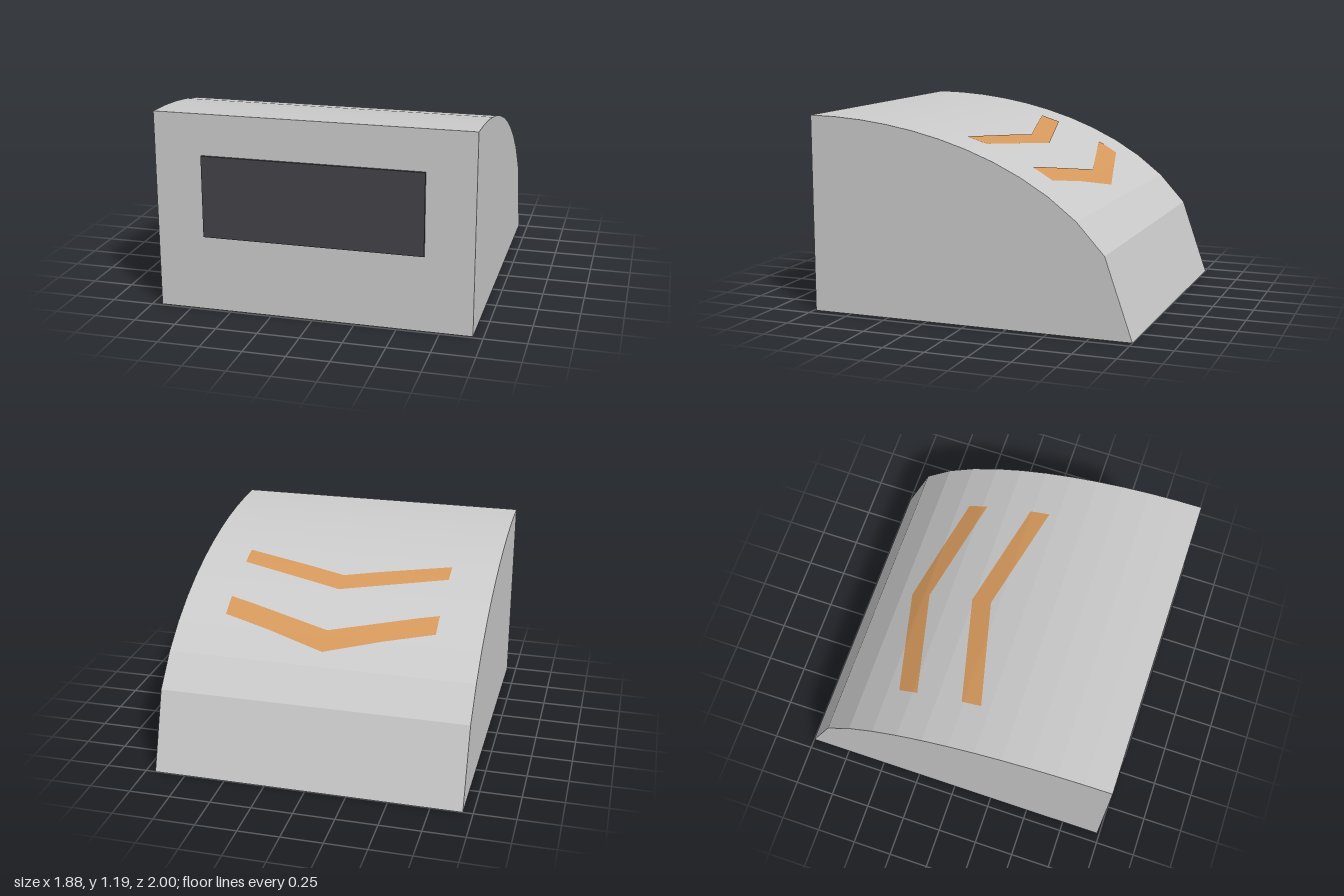
import * as THREE from 'three';

const WIDTH = 1.88, HEIGHT = 1.19, FRONT = 0.985, LENGTH = 1.985, STEPS = 12;

// Elliptical back slope, sampled in equal steps of depth
const rim = (i) => HEIGHT * Math.sqrt(Math.max(0, 1 - (i / STEPS) ** 2));

// Height of the faceted slope at depth z
function slopeHeight(z) {
  const t = ((FRONT - z) / LENGTH) * STEPS;
  const i = Math.min(STEPS - 1, Math.floor(t));
  return THREE.MathUtils.lerp(rim(i), rim(i + 1), t - i);
}

function material(color) {
  return new THREE.MeshStandardMaterial({ color, flatShading: true });
}

function addMesh(parent, name, geometry, mat) {
  const mesh = new THREE.Mesh(geometry, mat);
  mesh.name = name;
  parent.add(mesh);
  return mesh;
}

// V-shaped stripe laid on the slope, its tip pointing to the back
function chevronGeometry(tipZ) {
  const halfWidth = 0.655, sweep = 0.162, band = 0.122, lift = 0.003;
  const geometry = new THREE.PlaneGeometry(halfWidth * 2, band, 48, 8).rotateX(-Math.PI / 2);
  const p = geometry.attributes.position;
  for (let i = 0; i < p.count; i++) {
    const z = tipZ + p.getZ(i) + (sweep * Math.abs(p.getX(i))) / halfWidth;
    p.setY(i, slopeHeight(z) + lift);
    p.setZ(i, z);
  }
  geometry.computeVertexNormals();
  return geometry;
}

export function createModel() {
  const group = new THREE.Group();
  group.name = 'curvedWedge';

  // Body: side profile extruded across the width
  const profile = new THREE.Shape();
  profile.moveTo(-FRONT, 0);
  for (let i = STEPS; i >= 0; i--) profile.lineTo((LENGTH * i) / STEPS - FRONT, rim(i));
  profile.closePath();
  const bodyGeometry = new THREE.ExtrudeGeometry(profile, { depth: WIDTH, bevelEnabled: false });
  bodyGeometry.translate(0, 0, -WIDTH / 2).rotateY(Math.PI / 2);
  addMesh(group, 'body', bodyGeometry, material(0xcccccc));

  // Dark panel on the flat front
  const panel = addMesh(group, 'frontPanel', new THREE.BoxGeometry(1.31, 0.49, 0.03), material(0x434348));
  panel.position.set(0, 0.7, 0.985);

  // Two orange stripes on the slope
  const orange = material(0xd6995c);
  orange.side = THREE.DoubleSide;
  [-0.53, -0.12].forEach((z, i) => addMesh(group, `chevron${i + 1}`, chevronGeometry(z), orange));

  return group;
}
